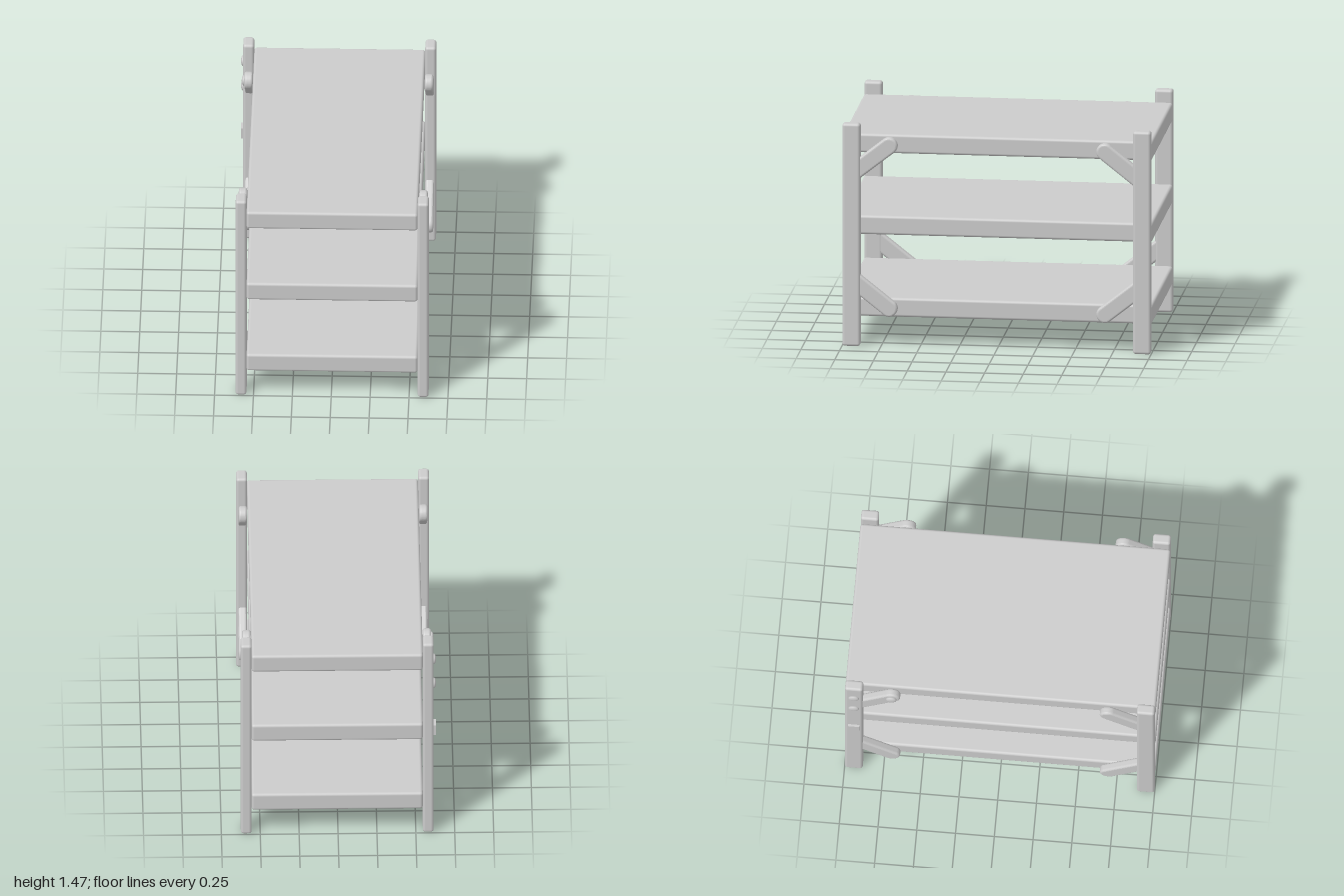
import * as THREE from 'three';
import { RoundedBoxGeometry } from 'three/addons/geometries/RoundedBoxGeometry.js';

const CX = 0.005; // frame centre; the bolt heads stick out on the -x side

export function createModel() {
  const group = new THREE.Group();
  const material = new THREE.MeshStandardMaterial({ color: 0xcccccc });

  function add(name, geometry, x, y, z) {
    const mesh = new THREE.Mesh(geometry, material);
    mesh.name = name;
    mesh.position.set(x, y, z);
    group.add(mesh);
    return mesh;
  }

  // Three full-depth shelves
  const shelfGeo = new RoundedBoxGeometry(1.1, 0.125, 2.0, 4, 0.018);
  [0.248, 0.788, 1.328].forEach((y) => add('shelf', shelfGeo, CX, y, 0));

  // Diagonal brace: a stadium outline with a soft bevel
  const bevel = 0.015, r = 0.055 - bevel, half = 0.156;
  const outline = new THREE.Shape();
  outline.absarc(half, 0, r, -Math.PI / 2, Math.PI / 2, false);
  outline.absarc(-half, 0, r, Math.PI / 2, Math.PI * 1.5, false);
  outline.closePath();
  const braceGeo = new THREE.ExtrudeGeometry(outline, {
    depth: 0.054 - 2 * bevel, bevelEnabled: true, bevelSize: bevel,
    bevelThickness: bevel, bevelSegments: 4, curveSegments: 14,
  });
  braceGeo.translate(0, 0, -0.027 + bevel);
  braceGeo.rotateY(-Math.PI / 2); // length along z, thickness along x

  // Corner posts, each with an upper and a lower brace
  const postGeo = new RoundedBoxGeometry(0.07, 1.47, 0.115, 4, 0.018);
  for (const sx of [-1, 1]) {
    for (const sz of [-1, 1]) {
      add('post', postGeo, CX + sx * 0.585, 0.735, sz * 0.941);
      for (const [name, y, tilt] of [['upperBrace', 1.228, 1], ['lowerBrace', 0.348, -1]]) {
        const brace = add(name, braceGeo, CX + sx * 0.58, y, sz * 0.821);
        brace.rotation.x = sz * tilt * 0.67;
      }
    }
  }

  // Domed bolt heads on one corner
  const boltGeo = new THREE.LatheGeometry([
    [0, -0.015], [0.034, -0.015], [0.034, 0.004], [0.031, 0.009],
    [0.024, 0.013], [0.012, 0.0155], [0, 0.016],
  ].map(([px, py]) => new THREE.Vector2(px, py)), 24);
  boltGeo.rotateZ(Math.PI / 2); // dome faces -x
  add('postBolt', boltGeo, -0.614, 1.32, -0.941);
  add('postBolt', boltGeo, -0.614, 1.132, -0.941);
  add('braceBolt', boltGeo, -0.603, 1.323, -0.7);

  // Small square plate on the same post
  add('plate', new THREE.BoxGeometry(0.03, 0.074, 0.074), -0.615, 0.788, -0.941);

  return group;
}
